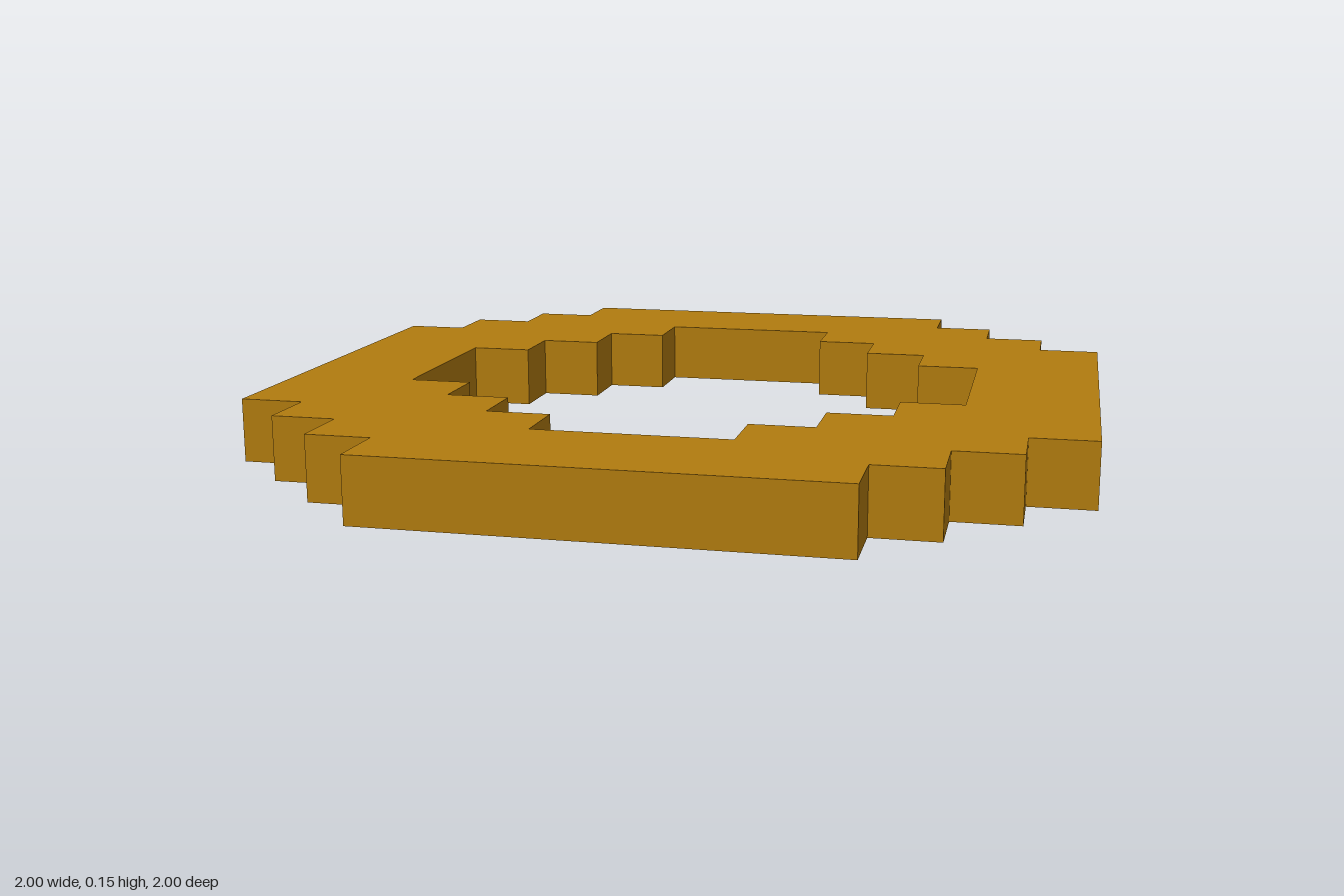
import * as THREE from 'three';

const UNIT = 2 / 13; // one block of the 13 x 13 layout

// Stepped ring outline: each quadrant walks a staircase from (outer, inner) to (inner, outer)
function steppedOutline(outer, inner) {
  const points = [];
  const centre = new THREE.Vector2();
  for (let q = 0; q < 4; q++) {
    for (let i = 0; i <= outer - inner; i++) {
      const steps = [[outer - i, inner + i]];
      if (i < outer - inner) steps.push([outer - i - 1, inner + i]);
      for (const [x, y] of steps) {
        points.push(new THREE.Vector2(x * UNIT, y * UNIT).rotateAround(centre, q * Math.PI / 2));
      }
    }
  }
  return points;
}

export function createModel() {
  const group = new THREE.Group();
  group.name = 'blockRing';

  const gold = new THREE.MeshStandardMaterial({ color: 0xb17b0f });
  gold.name = 'gold';

  // Flat ring, one block thick, with a stepped hole
  const shape = new THREE.Shape(steppedOutline(6.5, 3.5));
  shape.holes.push(new THREE.Path(steppedOutline(4.5, 1.5)));
  const geometry = new THREE.ExtrudeGeometry(shape, { depth: UNIT, bevelEnabled: false });
  geometry.rotateX(-Math.PI / 2);

  const ring = new THREE.Mesh(geometry, gold);
  ring.name = 'ring';
  group.add(ring);
  return group;
}
